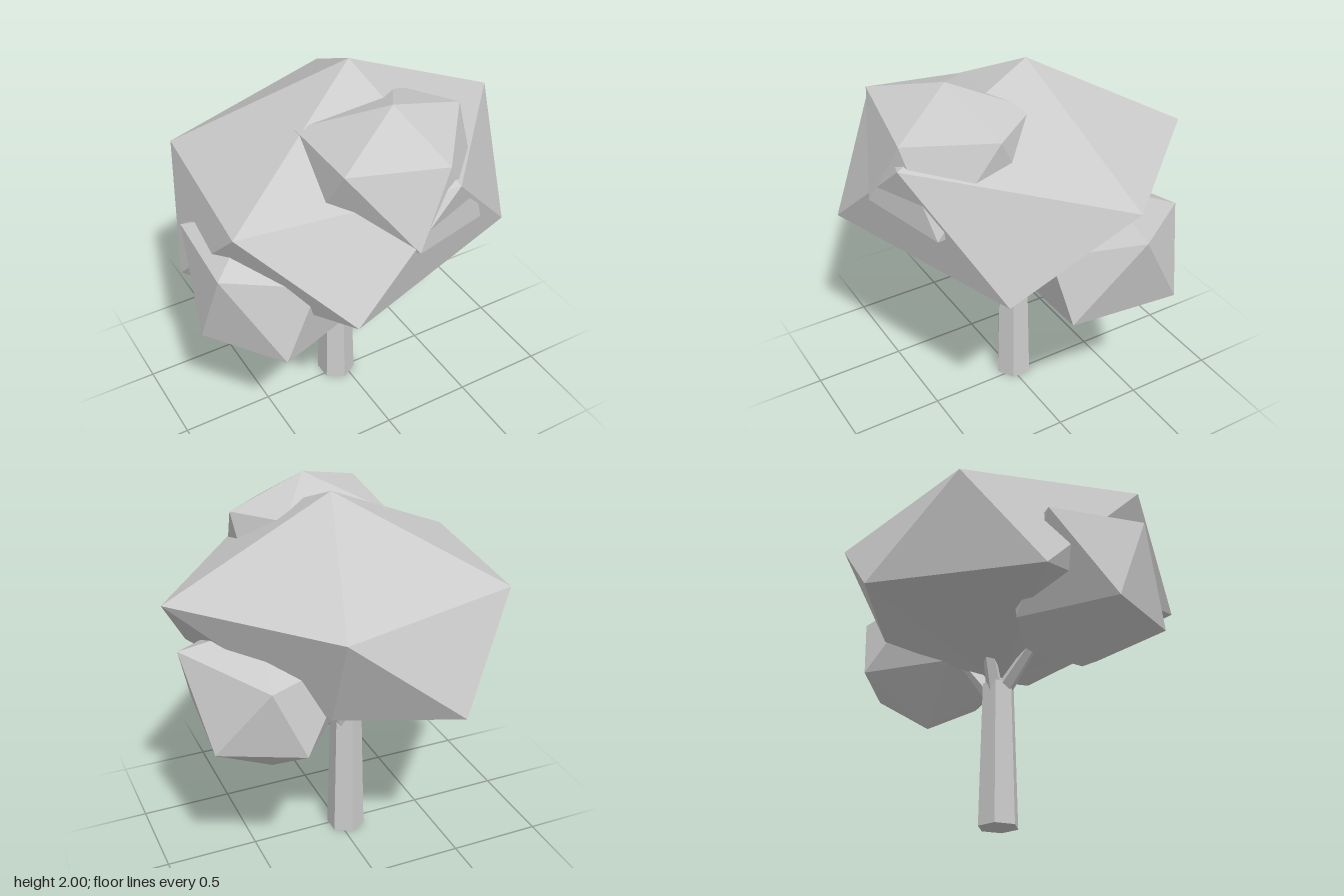
import * as THREE from 'three';

const material = new THREE.MeshStandardMaterial({ color: 0xcccccc, flatShading: true });

// Twenty-sided leaf clump: a top point, two staggered rings of five, a bottom point.
function leafClump(name, top, upper, lower, bottom) {
  const points = [];
  for (let i = 0; i < 5; i++) {
    const j = (i + 1) % 5;
    points.push(top, upper[j], upper[i]);
    points.push(upper[i], upper[j], lower[i]);
    points.push(upper[j], lower[j], lower[i]);
    points.push(lower[i], lower[j], bottom);
  }
  const geometry = new THREE.BufferGeometry();
  geometry.setAttribute('position', new THREE.Float32BufferAttribute(points.flat(), 3));
  geometry.computeVertexNormals();
  const mesh = new THREE.Mesh(geometry, material);
  mesh.name = name;
  return mesh;
}

// Tapered limb between two points.
function limb(name, from, to, r0, r1, sides) {
  const a = new THREE.Vector3(...from), b = new THREE.Vector3(...to);
  const dir = b.clone().sub(a);
  const mesh = new THREE.Mesh(new THREE.CylinderGeometry(r1, r0, dir.length(), sides), material);
  mesh.position.copy(a).add(b).multiplyScalar(0.5);
  mesh.quaternion.setFromUnitVectors(new THREE.Vector3(0, 1, 0), dir.normalize());
  mesh.name = name;
  return mesh;
}

export function createModel() {
  const tree = new THREE.Group();
  tree.name = 'tree';

  // Six-sided trunk
  tree.add(limb('trunk', [-0.04, 0, -0.025], [-0.04, 0.75, -0.025], 0.105, 0.085, 6));

  // Short branches fanning out into the leaves
  const branches = [
    [[-0.06, 0.71, -0.01], [-0.24, 0.9, 0.08]],
    [[-0.01, 0.71, 0.01], [0.06, 0.94, 0.05]],
    [[-0.01, 0.71, -0.05], [0.14, 0.92, -0.14]],
    [[-0.06, 0.71, -0.05], [-0.13, 0.95, -0.12]],
  ];
  for (const [from, to] of branches) tree.add(limb('branch', from, to, 0.045, 0.03, 5));

  // Large main crown
  tree.add(leafClump('mainCrown', [0.05, 2, -0.04],
    [[0.94, 1.58, -0.1], [0.19, 1.67, 0.73], [-0.82, 1.55, 0.43], [-0.73, 1.54, -0.48], [0.3, 1.57, -0.81]],
    [[0.7, 1.11, 0.44], [-0.4, 1.14, 0.82], [-0.89, 1.02, -0.1], [-0.32, 1.06, -0.82], [0.27, 1.05, -0.56]],
    [0.03, 0.8, 0]));

  // Clump on the upper front
  tree.add(leafClump('frontClump', [0.03, 1.97, 0.39],
    [[0.45, 1.83, 0.33], [0.15, 1.77, 0.7], [-0.36, 1.84, 0.62], [-0.33, 1.8, 0.1], [0.25, 1.84, 0.05]],
    [[0.39, 1.37, 0.64], [-0.05, 1.41, 0.78], [-0.4, 1.42, 0.35], [-0.05, 1.4, 0], [0.4, 1.4, 0.12]],
    [0.03, 1.25, 0.39]));

  // Clump low on the -x side
  tree.add(leafClump('rightClump', [-0.62, 1.48, 0.2],
    [[-0.15, 1.3, 0.3], [-0.5, 1.28, 0.62], [-0.9, 1.33, 0.41], [-0.87, 1.33, -0.08], [-0.38, 1.3, -0.1]],
    [[-0.2, 0.9, 0.47], [-0.67, 0.89, 0.62], [-0.94, 0.89, 0.24], [-0.55, 0.89, -0.12], [-0.2, 0.9, 0.05]],
    [-0.5, 0.71, 0.24]));

  // Clump low on the +x side
  tree.add(leafClump('leftClump', [0.5, 1.45, -0.22],
    [[0.9, 1.37, -0.18], [0.62, 1.25, 0.17], [0.2, 1.3, 0.05], [0.08, 1.3, -0.4], [0.58, 1.28, -0.6]],
    [[0.77, 0.93, 0.13], [0.3, 0.9, 0.12], [0.1, 0.92, -0.25], [0.42, 0.92, -0.63], [0.82, 0.92, -0.44]],
    [0.47, 0.66, -0.25]));

  return tree;
}
